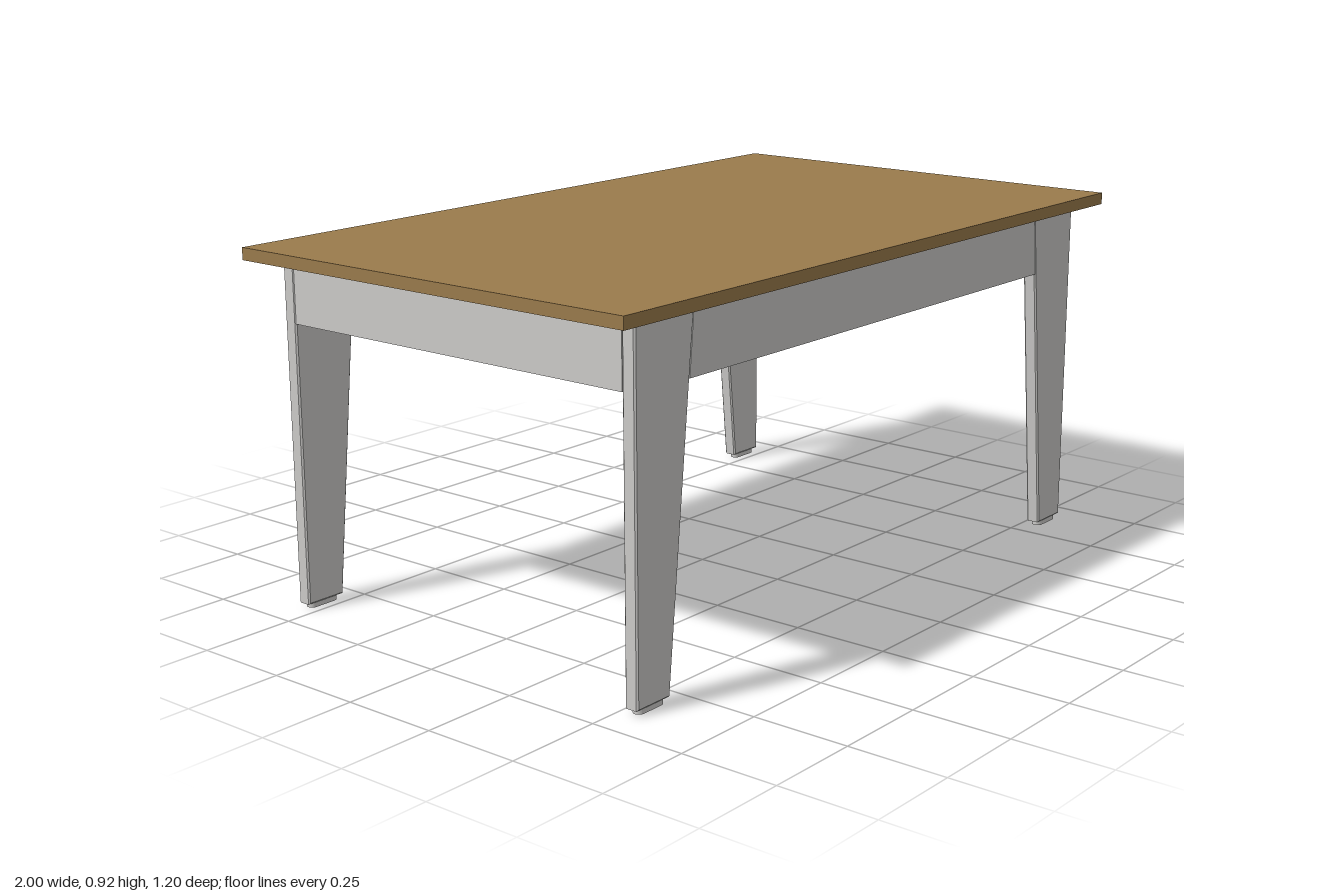
import * as THREE from 'three';

const wood = new THREE.MeshStandardMaterial({ name: 'wood', color: 0x9a7b4c });
const paint = new THREE.MeshStandardMaterial({ name: 'grey paint', color: 0xcccbc9 });
const steel = new THREE.MeshStandardMaterial({ name: 'bolt steel', color: 0xa4a4a2 });

const LEG_X = 0.915, LEG_Z = 0.556, THICK = 0.037;
const UNDERSIDE = 0.89, APRON_LOW = 0.73, FOOT = 0.013;
const APRON_Y = (UNDERSIDE + APRON_LOW) / 2, APRON_H = UNDERSIDE - APRON_LOW;
const INNER_X = LEG_X - THICK, INNER_Z = LEG_Z - THICK;

function add(parent, name, geometry, material, x = 0, y = 0, z = 0) {
  const mesh = new THREE.Mesh(geometry, material);
  mesh.name = name;
  mesh.position.set(x, y, z);
  parent.add(mesh);
  return mesh;
}

// Bolt head lying against an inner face, facing the given yaw
function addBolt(parent, x, y, z, yaw, radius) {
  const bolt = new THREE.Group();
  bolt.name = 'bolt';
  const washer = add(bolt, 'washer', new THREE.CylinderGeometry(radius, radius, 0.004, 20), paint, 0, 0, 0.002);
  const head = add(bolt, 'boltHead', new THREE.CylinderGeometry(radius * 0.55, radius * 0.55, 0.008, 12), steel, 0, 0, 0.004);
  washer.rotation.x = head.rotation.x = Math.PI / 2;
  bolt.position.set(x, y, z);
  bolt.rotation.y = yaw;
  parent.add(bolt);
}

// Tapered plank leg with chamfered edges, and a rounded foot pad
function addLeg(parent, sx, sz) {
  const leg = new THREE.Group();
  leg.name = (sz > 0 ? 'front' : 'back') + (sx > 0 ? 'Left' : 'Right') + 'Leg';
  const b = 0.004;
  const outline = new THREE.Shape([
    [LEG_X, FOOT], [LEG_X, UNDERSIDE], [0.716, UNDERSIDE], [0.803, FOOT],
  ].map(([x, y]) => new THREE.Vector2(sx * x, y)));
  const plank = new THREE.ExtrudeGeometry(outline, {
    depth: THICK - 2 * b, bevelThickness: b, bevelSize: b, bevelOffset: -b, bevelSegments: 1,
  });
  plank.translate(0, 0, sz * (LEG_Z - THICK / 2) - THICK / 2 + b);
  add(leg, 'legPlank', plank, paint);

  const r = 0.014, half = 0.03;
  const pad = new THREE.Shape();
  pad.absarc(half, 0, r, -Math.PI / 2, Math.PI / 2);
  pad.absarc(-half, 0, r, Math.PI / 2, Math.PI * 1.5);
  const padGeometry = new THREE.ExtrudeGeometry(pad, { depth: FOOT + 0.004, bevelEnabled: false, curveSegments: 8 });
  padGeometry.rotateX(-Math.PI / 2);
  add(leg, 'footPad', padGeometry, paint, sx * 0.859, 0, sz * (LEG_Z - THICK / 2));

  addBolt(leg, sx * 0.81, 0.84, sz * INNER_Z, sz > 0 ? Math.PI : 0, 0.014);
  parent.add(leg);
}

// Long rail whose ends follow the slanted inner edges of the legs
function addLongApron(parent, sz) {
  const low = 0.732, high = 0.717;
  const outline = new THREE.Shape([
    [-low, APRON_LOW], [low, APRON_LOW], [high, UNDERSIDE], [-high, UNDERSIDE],
  ].map(([x, y]) => new THREE.Vector2(x, y)));
  const rail = new THREE.ExtrudeGeometry(outline, { depth: THICK - 0.001, bevelEnabled: false });
  add(parent, sz > 0 ? 'frontApron' : 'backApron', rail, paint,
    0, 0, sz * (LEG_Z - THICK / 2) - (THICK - 0.001) / 2);
  for (const sx of [-1, 1]) addBolt(parent, sx * 0.65, 0.825, sz * INNER_Z, sz > 0 ? Math.PI : 0, 0.02);
}

// Short rail between front and back legs
function addShortApron(parent, sx) {
  add(parent, sx > 0 ? 'leftApron' : 'rightApron',
    new THREE.BoxGeometry(THICK, APRON_H, INNER_Z * 2), paint, sx * (LEG_X - 0.001 - THICK / 2), APRON_Y, 0);
  for (const sz of [-1, 1]) addBolt(parent, sx * INNER_X, 0.826, sz * 0.445, -sx * Math.PI / 2, 0.02);
}

export function createModel() {
  const table = new THREE.Group();
  table.name = 'table';
  add(table, 'tableTop', new THREE.BoxGeometry(2, 0.031, 1.2), wood, 0, UNDERSIDE + 0.0155, 0);
  for (const s of [-1, 1]) {
    addLongApron(table, s);
    addShortApron(table, s);
    for (const sz of [-1, 1]) addLeg(table, s, sz);
  }
  return table;
}
